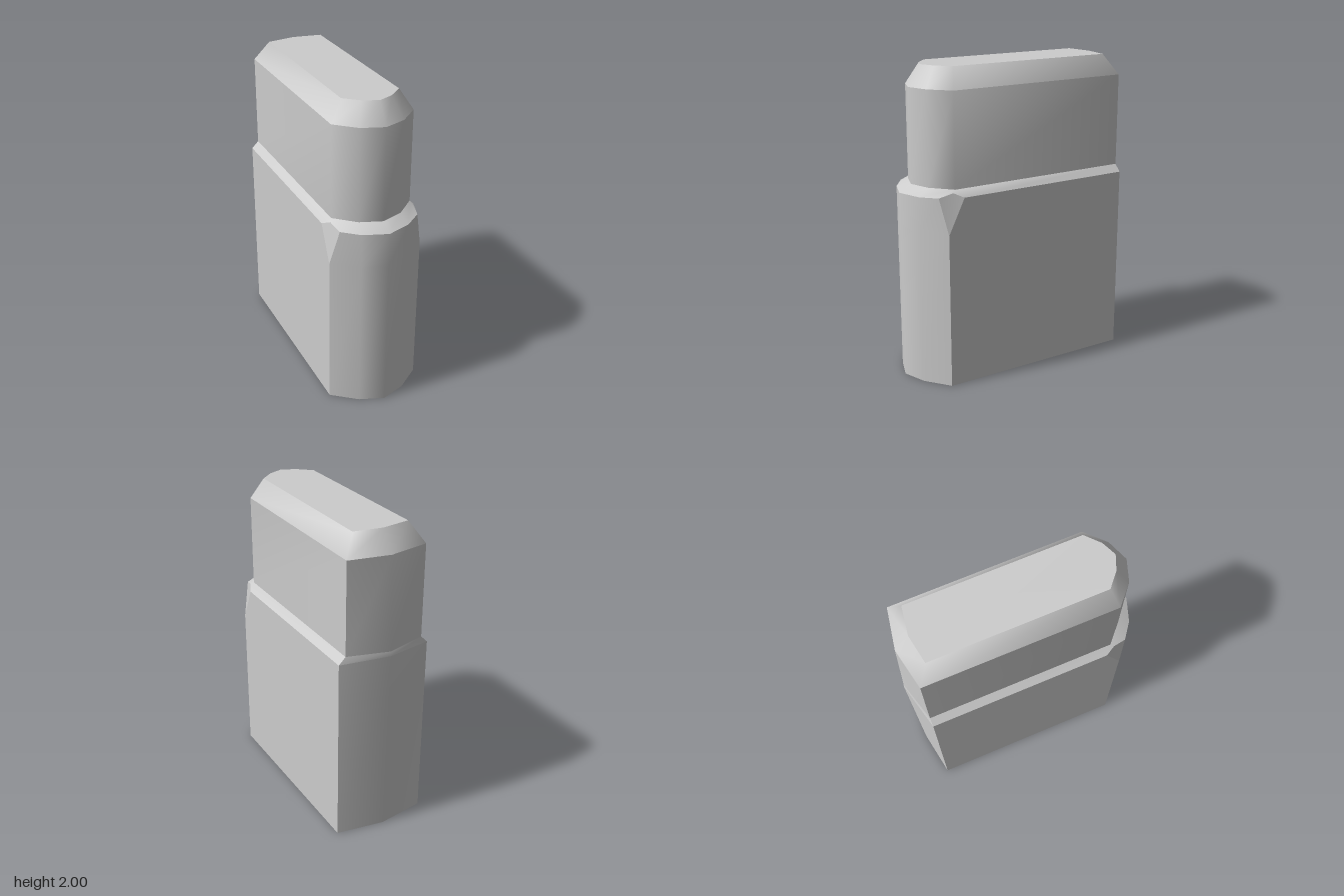
import * as THREE from 'three';
import { toCreasedNormals } from 'three/addons/utils/BufferGeometryUtils.js';

// Full symmetric ring from a half outline running front centre -> +x side -> back centre
const ring = (half) => [
  ...half,
  ...half.slice(1, -1).reverse().map(([x, y, z]) => [-x, y, z]),
];

// Half outline at a constant height, from [x, z] pairs
const level = (y, pts) => ring(pts.map(([x, z]) => [x, y, z]));

const same = (p, q) => p.every((v, i) => Math.abs(v - q[i]) < 1e-6);

// Skin between consecutive rings; collapsed corners become single triangles
function skin(rings, crease, keep = () => true) {
  const pos = [];
  const tri = (a, b, c) => {
    if (!same(a, b) && !same(b, c) && !same(a, c)) pos.push(...a, ...b, ...c);
  };
  for (let r = 0; r < rings.length - 1; r++) {
    const lo = rings[r], hi = rings[r + 1], n = lo.length;
    for (let i = 0; i < n; i++) {
      if (!keep(i)) continue;
      const j = (i + 1) % n;
      tri(lo[i], lo[j], hi[j]);
      tri(lo[i], hi[j], hi[i]);
    }
  }
  const g = new THREE.BufferGeometry();
  g.setAttribute('position', new THREE.Float32BufferAttribute(pos, 3));
  return toCreasedNormals(g, crease);
}

export function createModel() {
  const group = new THREE.Group();
  const grey = new THREE.MeshStandardMaterial({ color: 0xcccccc, side: THREE.DoubleSide });
  grey.name = 'light grey';
  const add = (name, geometry) => {
    const mesh = new THREE.Mesh(geometry, grey);
    mesh.name = name;
    group.add(mesh);
  };

  // Cross-sections of the wide base; the front corner is tripled so it can open into a chamfer
  const corner = [0.31, 0.6];
  const baseOutline = (back) => [
    [0, 0.775], [0.155, 0.72], corner, corner, corner, [0.31, -0.7], [0, back],
  ];
  const foot = level(0, baseOutline(-0.75));
  const chamferStart = level(1, baseOutline(-0.77));
  const shoulder = ring([
    [0, 1.225, 0.775], [0.155, 1.225, 0.72], [0.26, 1.23, 0.64], [0.28, 1.255, 0.55],
    [0.31, 1.225, 0.49], [0.31, 1.225, -0.7], [0, 1.24, -0.775],
  ]);

  // Cross-sections of the narrow upper block
  const inner = [0.265, 0.53];
  const upperOutline = (back) => [
    [0, 0.695], [0.14, 0.645], inner, inner, inner, [0.265, -0.7], [0, back],
  ];
  const upperFoot = level(1.27, upperOutline(-0.772));
  const upperTop = level(1.87, upperOutline(-0.75));
  const rim = [0.185, 0.49];
  const roofEdge = level(2, [
    [0, 0.61], [0.095, 0.57], rim, rim, rim, [0.185, -0.625], [0, -0.655],
  ]);
  const roofCentre = roofEdge.map(() => [0, 2, 0]);

  // Base shell (open underneath) and its chamfered front corners
  const isChamfer = (i) => [2, 3, 8, 9].includes(i);
  add('baseWalls', skin([foot, chamferStart, shoulder], 0.85, (i) => !isChamfer(i)));
  add('cornerChamfers', skin([chamferStart, shoulder], 0.2, isChamfer));

  // Sloping ledge, upper block, bevel and flat roof
  add('ledge', skin([shoulder, upperFoot], 0.85));
  add('upperWalls', skin([upperFoot, upperTop], 0.85));
  add('roofBevel', skin([upperTop, roofEdge], 1.3));
  add('roof', skin([roofEdge, roofCentre], 0.1));

  return group;
}
